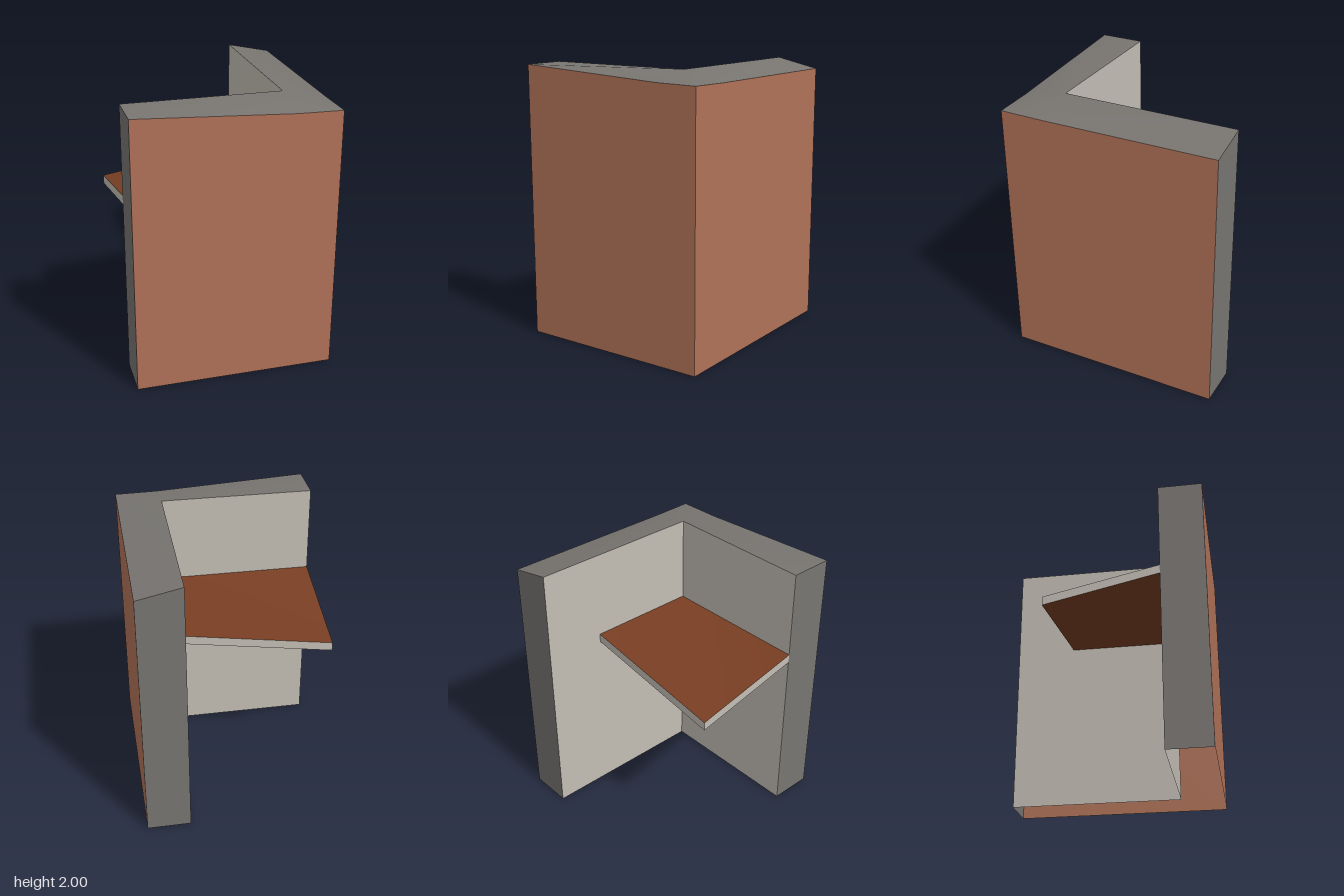
import * as THREE from 'three';

const mat = (name, color) => {
  const m = new THREE.MeshStandardMaterial({ color, side: THREE.DoubleSide });
  m.name = name;
  return m;
};

// Surface from corner points and faces; each face is a convex loop of indices
function panel(name, points, faces, material) {
  const index = [];
  for (const f of faces) {
    for (let i = 1; i < f.length - 1; i++) index.push(f[0], f[i], f[i + 1]);
  }
  const g = new THREE.BufferGeometry();
  g.setAttribute('position', new THREE.Float32BufferAttribute(points.flat(), 3));
  g.setIndex(index);
  g.computeVertexNormals();
  const mesh = new THREE.Mesh(g, material);
  mesh.name = name;
  return mesh;
}

const wall = (name, top, material) => {
  // top runs right to left as seen from outside; drop its ends to the floor
  const last = top[top.length - 1], first = top[0];
  const pts = [[last[0], 0, last[2]], [first[0], 0, first[2]], ...top];
  return panel(name, pts, [pts.map((_, i) => i)], material);
};

export function createModel() {
  const model = new THREE.Group();
  model.name = 'cornerWallWithShelf';

  const clay = mat('clay outer wall', 0xb07258);
  const plaster = mat('light grey plaster', 0xc3bdb4);
  const cut = mat('dark grey cut', 0x787571);
  const wood = mat('brown wood', 0x783e23);

  // Corners of the L-shaped wall top, which dips towards the outer corner
  const A = [-0.72, 2, 0.8], B = [0.4, 1.94, 0.8], C = [0.72, 1.935, 0.8];
  const D = [0.72, 1.93, 0.48], E = [0.72, 1.93, -0.8], F = [0.4, 2, -0.8];
  const G = [0.4, 2, 0.48], H = [-0.72, 2, 0.48];

  // Walls, open at the bottom
  const walls = new THREE.Group();
  walls.name = 'walls';
  walls.add(
    wall('frontOuterWall', [C, B, A], clay),
    wall('sideOuterWall', [E, D, C], clay),
    wall('sideWallEnd', [F, E], cut),
    wall('sideInnerWall', [G, F], plaster),
    wall('frontInnerWall', [H, G], plaster),
    wall('frontWallEnd', [A, H], cut),
    panel('wallTop', [A, B, C, D, E, F, G, H],
      [[0, 1, 6, 7], [6, 1, 2, 3], [3, 4, 5, 6]], cut)
  );

  // Shelf in the inner corner, with its free corner sagging
  const thick = 0.065;
  const top = [[-0.72, 1.355, 0.48], [0.4, 1.355, 0.48], [0.4, 1.355, -0.35], [-0.72, 1.175, -0.35]];
  const under = top.map(([x, y, z]) => [x, y - thick, z]);
  const shelf = new THREE.Group();
  shelf.name = 'shelf';
  shelf.add(
    panel('shelfTop', top, [[1, 2, 3, 0]], wood),
    panel('shelfUnderside', under, [[1, 0, 3, 2]], wood),
    panel('shelfBackEdge', [under[2], under[3], top[3], top[2]], [[0, 1, 2, 3]], plaster),
    panel('shelfSideEdge', [under[3], under[0], top[0], top[3]], [[0, 1, 2, 3]], plaster)
  );

  model.add(walls, shelf);
  return model;
}
